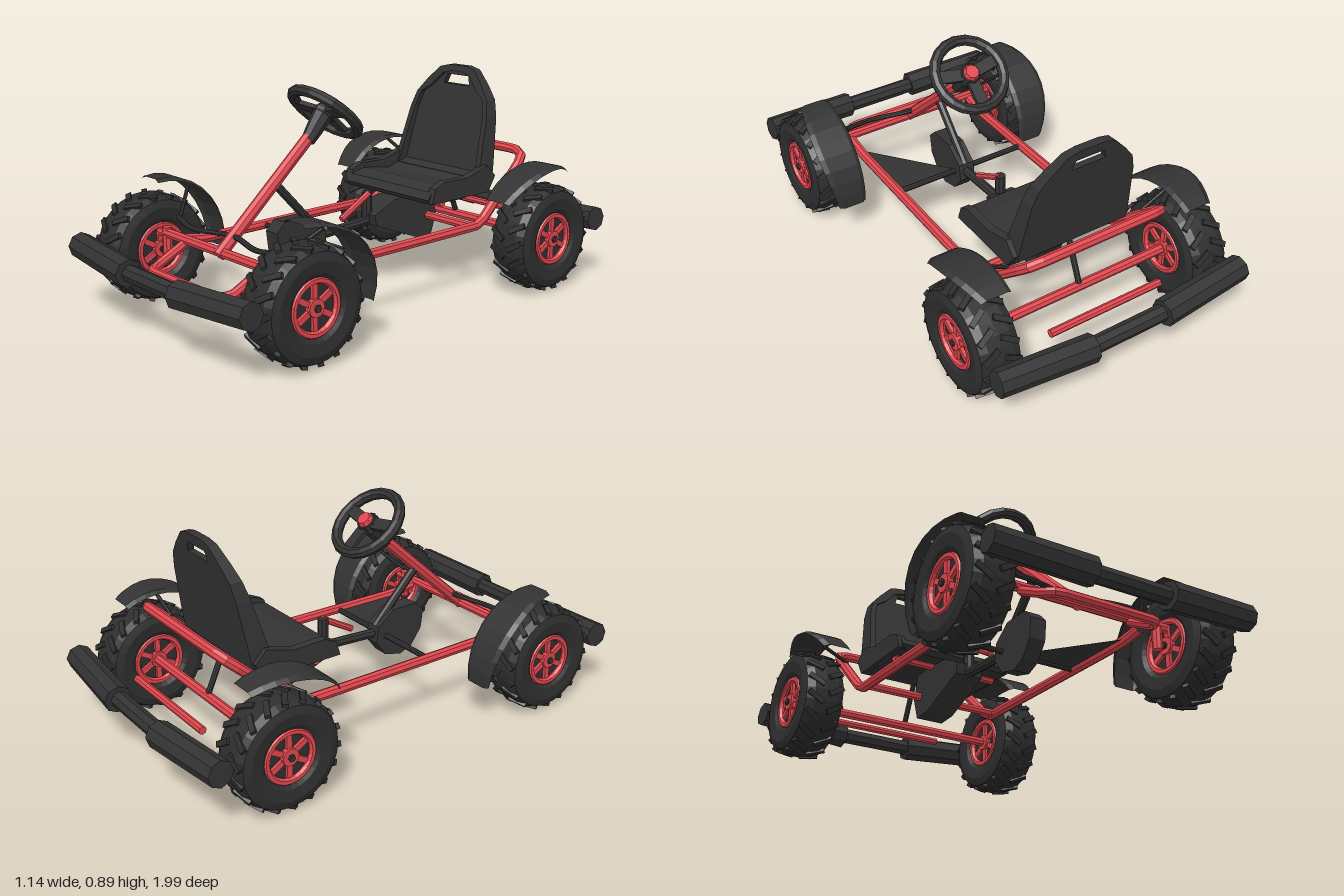
import * as THREE from 'three';

const mat = (name, color, extra = {}) => {
  const m = new THREE.MeshStandardMaterial({ color, flatShading: true, ...extra });
  m.name = name;
  return m;
};

export function createModel() {
  const red = mat('red frame', 0xe0474e);
  const black = mat('black plastic', 0x333333, { side: THREE.DoubleSide });
  const rubber = mat('tyre rubber', 0x2e2e2e);
  const root = new THREE.Group();
  root.name = 'pedalKart';
  const V = (x, y, z) => new THREE.Vector3(x, y, z);

  const add = (name, geo, material, parent = root) => {
    const m = new THREE.Mesh(geo, material);
    m.name = name;
    parent.add(m);
    return m;
  };
  // straight bar between two points
  const rod = (name, a, b, r, material, r2 = r, sides = 8) => {
    const A = V(...a), B = V(...b);
    const m = add(name, new THREE.CylinderGeometry(r2, r, A.distanceTo(B), sides), material);
    m.position.copy(A).lerp(B, 0.5);
    m.quaternion.setFromUnitVectors(V(0, 1, 0), B.sub(A).normalize());
    return m;
  };
  // bent pipe
  const pipe = (name, pts, r, material, tension = 0.15) => {
    const curve = new THREE.CatmullRomCurve3(pts.map(p => V(...p)), false, 'catmullrom', tension);
    return add(name, new THREE.TubeGeometry(curve, pts.length * 5, r, 8), material);
  };
  // side profile of [z, y] points, extruded across x
  const sideExtrude = (name, pts, width, x, material) => {
    const shape = new THREE.Shape(pts.map(([z, y]) => new THREE.Vector2(-z, y)));
    const g = new THREE.ExtrudeGeometry(shape, { depth: width, bevelEnabled: false });
    g.translate(0, 0, -width / 2).rotateY(Math.PI / 2).translate(x, 0, 0);
    return add(name, g, material);
  };

  // ---- wheels ----
  const tyreProfile = [[0.1, -0.065], [0.125, -0.083], [0.17, -0.09], [0.2, -0.08], [0.214, -0.05],
    [0.216, 0], [0.214, 0.05], [0.2, 0.08], [0.17, 0.09], [0.125, 0.083], [0.1, 0.065]];
  const makeWheel = (x, z, name) => {
    const g = new THREE.Group();
    g.name = name;
    g.position.set(x, 0.223, z);
    root.add(g);
    add('tyre', new THREE.LatheGeometry(tyreProfile.map(p => new THREE.Vector2(...p)), 28)
      .rotateZ(Math.PI / 2), rubber, g);
    add('rimBack', new THREE.CylinderGeometry(0.105, 0.105, 0.11, 24).rotateZ(Math.PI / 2), rubber, g);
    for (let i = 0; i < 18; i++) for (const s of [-1, 1]) {
      const lug = new THREE.BoxGeometry(0.075, 0.014, 0.022);
      lug.rotateY(s * 0.55).rotateZ(-s * 0.12).translate(s * 0.043, 0.2125, 0);
      lug.rotateX((i + (s > 0 ? 0.5 : 0)) * Math.PI / 9);
      add('treadLug', lug, rubber, g);
    }
    for (const s of [-1, 1]) {
      add('rimRing', new THREE.TorusGeometry(0.098, 0.014, 6, 24).rotateY(Math.PI / 2)
        .translate(s * 0.066, 0, 0), red, g);
      for (let i = 0; i < 6; i++) {
        add('rimSpoke', new THREE.BoxGeometry(0.016, 0.075, 0.022).translate(s * 0.06, 0.06, 0)
          .rotateX(i * Math.PI / 3), red, g);
      }
      add('rimHub', new THREE.CylinderGeometry(0.034, 0.034, 0.03, 12).rotateZ(Math.PI / 2)
        .translate(s * 0.062, 0, 0), red, g);
      add('axleNut', new THREE.CylinderGeometry(0.014, 0.014, 0.012, 6).rotateZ(Math.PI / 2)
        .translate(s * 0.08, 0, 0), black, g);
    }
  };

  // mudguard: arc strip around a wheel centre, narrower towards both ends
  const makeFender = (side, z0, a0, a1, r0, r1, name) => {
    const n = 9, pos = [], idx = [];
    for (let i = 0; i <= n; i++) {
      const t = i / n, a = a0 + (a1 - a0) * t, r = r0 + (r1 - r0) * t;
      const outer = 0.515 + 0.045 * Math.sin(Math.PI * t);
      for (const [x, dr] of [[0.392, -0.012], [0.41, 0], [outer - 0.02, 0], [outer, -0.012]]) {
        pos.push(side * x, 0.223 + Math.cos(a) * (r + dr), z0 + Math.sin(a) * (r + dr));
      }
      if (i < n) for (let k = 0; k < 3; k++) {
        const p = i * 4 + k;
        idx.push(p, p + 1, p + 4, p + 1, p + 5, p + 4);
      }
    }
    const g = new THREE.BufferGeometry();
    g.setAttribute('position', new THREE.Float32BufferAttribute(pos, 3));
    g.setIndex(idx);
    g.computeVertexNormals();
    add(name, g, black);
  };

  for (const s of [-1, 1]) {
    makeWheel(s * 0.478, 0.64, 'frontWheel');
    makeWheel(s * 0.478, -0.635, 'rearWheel');
    makeFender(s, 0.64, 0.05, -1.75, 0.285, 0.315, 'frontFender');
    makeFender(s, -0.635, 0.95, -0.45, 0.31, 0.3, 'rearFender');
    // frame sides and front loop
    rod('kingpin', [s * 0.37, 0.2, 0.635], [s * 0.37, 0.32, 0.635], 0.02, red);
    rod('fenderStay', [s * 0.33, 0.35, 0.6], [s * 0.42, 0.45, 0.5], 0.008, black);
    rod('rearFenderStay', [s * 0.3, 0.45, -0.62], [s * 0.42, 0.505, -0.62], 0.008, black);
  }

  // ---- red frame ----
  const half = [[0.305, 0.28, 0.62], [0.305, 0.262, 0.5], [0.312, 0.268, -0.42], [0.312, 0.3, -0.48],
    [0.305, 0.5, -0.7], [0.285, 0.53, -0.735], [0.23, 0.54, -0.745]];
  pipe('mainFrame', [...half, ...half.map(([x, y, z]) => [-x, y, z]).reverse()], 0.021, red, 0.1);
  rod('frontAxle', [-0.41, 0.295, 0.635], [0.41, 0.295, 0.635], 0.02, red);
  rod('rearAxle', [-0.41, 0.225, -0.64], [0.41, 0.225, -0.64], 0.02, red);
  pipe('frontLoop', [[-0.24, 0.28, 0.64], [-0.24, 0.22, 0.76], [-0.2, 0.21, 0.81], [0.2, 0.21, 0.81],
    [0.24, 0.22, 0.76], [0.24, 0.28, 0.64]], 0.019, red);
  rod('rearBar', [-0.25, 0.25, -0.81], [0.255, 0.25, -0.81], 0.016, red);
  rod('seatCrossbar', [-0.31, 0.27, -0.4], [0.31, 0.27, -0.4], 0.018, red);
  rod('seatBracket', [-0.24, 0.375, -0.3], [0.24, 0.375, -0.3], 0.018, red);
  pipe('steeringStay', [[-0.34, 0.36, 0.6], [-0.2, 0.345, 0.625], [0, 0.35, 0.585],
    [0.2, 0.345, 0.625], [0.34, 0.36, 0.6]], 0.011, black, 0.5);

  // ---- bumpers ----
  for (const d of [-1, 1]) {
    rod('bumperTube', [-0.2, 0.24, d * 0.935], [0.2, 0.24, d * 0.935], 0.034, black);
    for (const s of [-1, 1]) {
      rod('bumperPad', [s * 0.16, 0.24, d * 0.94], [s * 0.555, 0.26, d * 0.917], 0.055, black, 0.052);
    }
  }

  // ---- steering ----
  rod('steeringColumn', [0, 0.285, 0.65], [0, 0.71, 0.175], 0.025, red);
  rod('steeringHub', [0, 0.665, 0.215], [0, 0.775, 0.125], 0.028, black, 0.045);
  const steering = new THREE.Group();
  steering.name = 'steeringWheel';
  steering.position.set(0, 0.768, 0.125);
  steering.rotation.x = -0.72;
  root.add(steering);
  add('steeringRim', new THREE.TorusGeometry(0.147, 0.023, 8, 20).rotateX(Math.PI / 2), black, steering);
  add('steeringBoss', new THREE.CylinderGeometry(0.04, 0.05, 0.035, 8), black, steering);
  add('steeringCap', new THREE.CylinderGeometry(0.028, 0.036, 0.02, 8).translate(0, 0.025, 0), red, steering);
  for (const a of [-1.75, 0, 1.75]) {
    add('steeringSpoke', new THREE.BoxGeometry(0.05, 0.018, 0.13).translate(0, 0, -0.08).rotateY(a),
      black, steering);
  }

  // ---- pedal drive ----
  rod('columnBrace', [0, 0.53, 0.39], [0, 0.3, 0.17], 0.018, black);
  sideExtrude('crankCase', [[0.4, 0.33], [0.36, 0.37], [0.24, 0.37], [0.16, 0.31], [0.15, 0.24],
    [0.2, 0.175], [0.28, 0.155], [0.34, 0.18], [0.39, 0.25]], 0.07, 0, black);
  sideExtrude('chainCase', [[-0.09, 0.32], [-0.2, 0.37], [-0.42, 0.38], [-0.45, 0.27], [-0.42, 0.18],
    [-0.33, 0.185], [-0.1, 0.275]], 0.12, 0, black);
  rod('chainTube', [0, 0.27, 0.2], [0, 0.29, -0.15], 0.02, black);
  rod('brakeLever', [0.01, 0.32, 0.05], [0.01, 0.405, -0.1], 0.014, red);
  rod('leverPost', [0, 0.29, -0.1], [0, 0.41, -0.1], 0.022, black);
  rod('seatPost', [0, 0.24, -0.64], [0, 0.42, -0.56], 0.012, black);
  rod('crossRod', [-0.3, 0.262, 0.2], [0.3, 0.262, 0.2], 0.012, black);
  const gusset = new THREE.Shape([[0.02, 0.2], [0.3, 0.2], [0.3, 0.55]].map(p => new THREE.Vector2(...p)));
  add('floorGusset', new THREE.ShapeGeometry(gusset).rotateX(Math.PI / 2).translate(0, 0.262, 0), black);

  // ---- seat ----
  // outline of the backrest as [halfWidth, height]; inset k shrinks it
  const outline = k => {
    const right = [[0.25, 0.42], [0.245, 0.5], [0.225, 0.69], [0.205, 0.76], [0.16, 0.815], [0.1, 0.875], [0.05, 0.887]];
    const pts = right.map(([x, y]) => [x - k, y === 0.42 ? y + k : y > 0.8 ? y - k : y]);
    return [...pts, ...pts.map(([x, y]) => [-x, y]).reverse()].map(p => new THREE.Vector2(...p));
  };
  // tilt an upright extrusion; front and rear faces lean by different amounts
  const lean = (g, frontLow, frontHigh) => {
    const p = g.attributes.position;
    for (let i = 0; i < p.count; i++) {
      const t = (p.getY(i) - 0.42) / 0.467;
      p.setZ(i, p.getZ(i) > 0.5 ? frontLow + (frontHigh - frontLow) * t : -0.59 - 0.078 * t);
    }
    g.computeVertexNormals();
    return g;
  };
  const slot = new THREE.Path([[-0.075, 0.805], [-0.06, 0.845], [0.06, 0.845], [0.075, 0.805]]
    .map(p => new THREE.Vector2(...p)));
  const back = new THREE.Shape(outline(0.005));
  back.holes.push(slot);
  const rim = new THREE.Shape(outline(0));
  rim.holes.push(new THREE.Path(outline(0.025)));
  const opt = { depth: 1, bevelEnabled: false };
  add('seatBack', lean(new THREE.ExtrudeGeometry(back, opt), -0.54, -0.645), black);
  add('seatBackRim', lean(new THREE.ExtrudeGeometry(rim, opt), -0.495, -0.632), black);
  sideExtrude('seatCushion', [[-0.205, 0.4], [-0.225, 0.43], [-0.3, 0.445], [-0.45, 0.425], [-0.55, 0.46],
    [-0.59, 0.44], [-0.56, 0.39], [-0.4, 0.375], [-0.22, 0.38]], 0.5, 0, black);
  for (const s of [-1, 1]) {
    sideExtrude('seatLip', [[-0.21, 0.385], [-0.23, 0.445], [-0.28, 0.468], [-0.42, 0.465], [-0.54, 0.5],
      [-0.59, 0.45], [-0.55, 0.385]], 0.035, s * 0.25, black);
  }
  return root;
}
